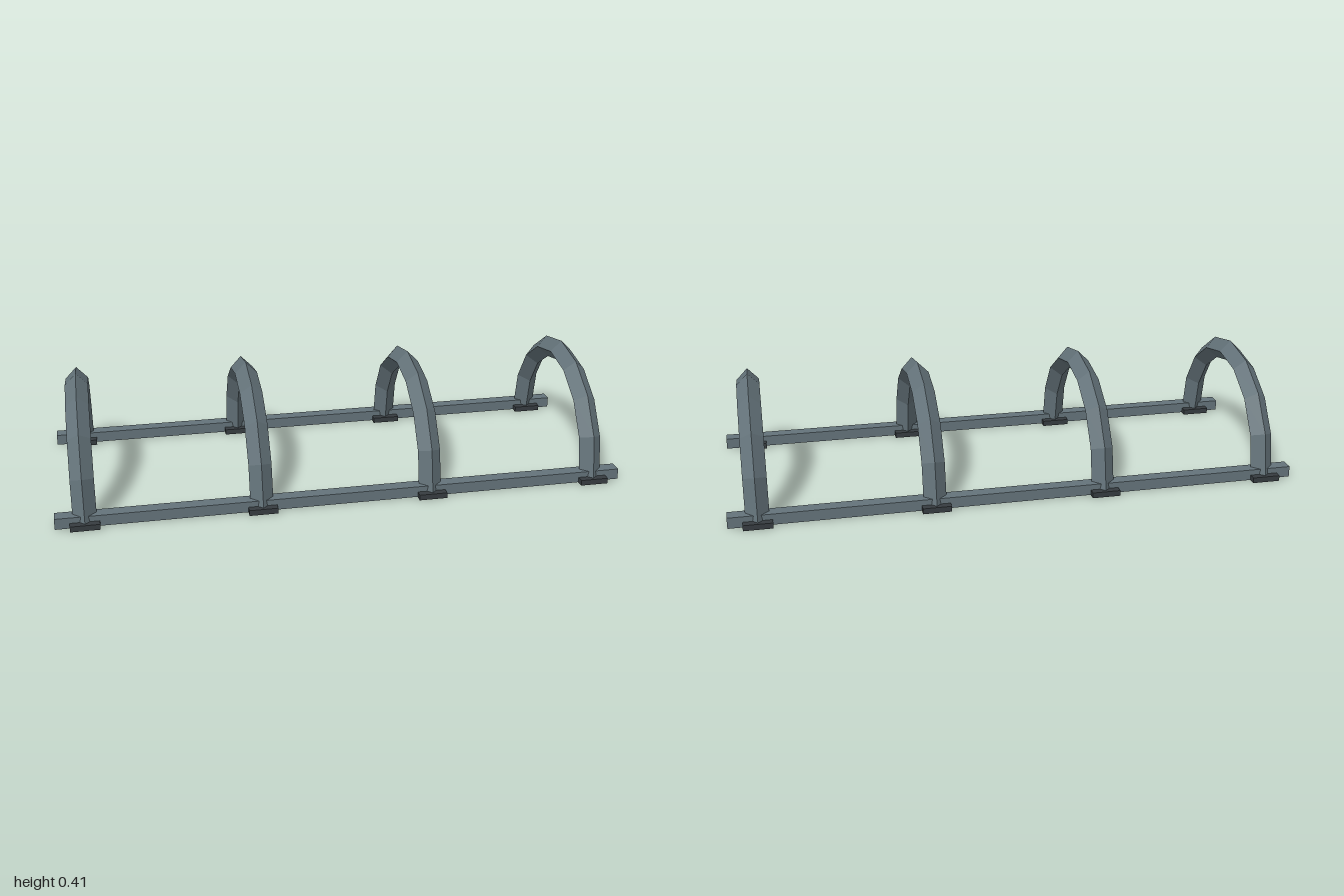
import * as THREE from 'three';

export function createModel() {
  const group = new THREE.Group();
  const steel = new THREE.MeshStandardMaterial({ color: 0x64737a, flatShading: true });
  const dark = new THREE.MeshStandardMaterial({ color: 0x363c40, flatShading: true });

  const add = (name, geometry, material, x, y, z) => {
    const mesh = new THREE.Mesh(geometry, material);
    mesh.name = name;
    mesh.position.set(x, y, z);
    group.add(mesh);
  };

  // Half hoop with a diamond section, spanning z
  const hoop = new THREE.TorusGeometry(0.35, 0.04, 4, 8, Math.PI).rotateY(Math.PI / 2);
  // Rail underside sits a hair above the plates so the faces do not clash
  const rail = new THREE.BoxGeometry(2, 0.039, 0.047);
  const plate = new THREE.BoxGeometry(0.1, 0.02, 0.1);

  const sides = [['front', 0.35], ['back', -0.35]];
  for (const [side, z] of sides) add(`${side}Rail`, rail, steel, 0, 0.0205, z);

  // Four evenly spaced hoops, each standing on two foot plates
  for (let i = 0; i < 4; i++) {
    const x = -0.9 + i * 0.6;
    add(`hoop${i + 1}`, hoop, steel, x, 0.02, 0);
    for (const [side, z] of sides) add(`${side}FootPlate${i + 1}`, plate, dark, x, 0.01, z);
  }
  return group;
}
